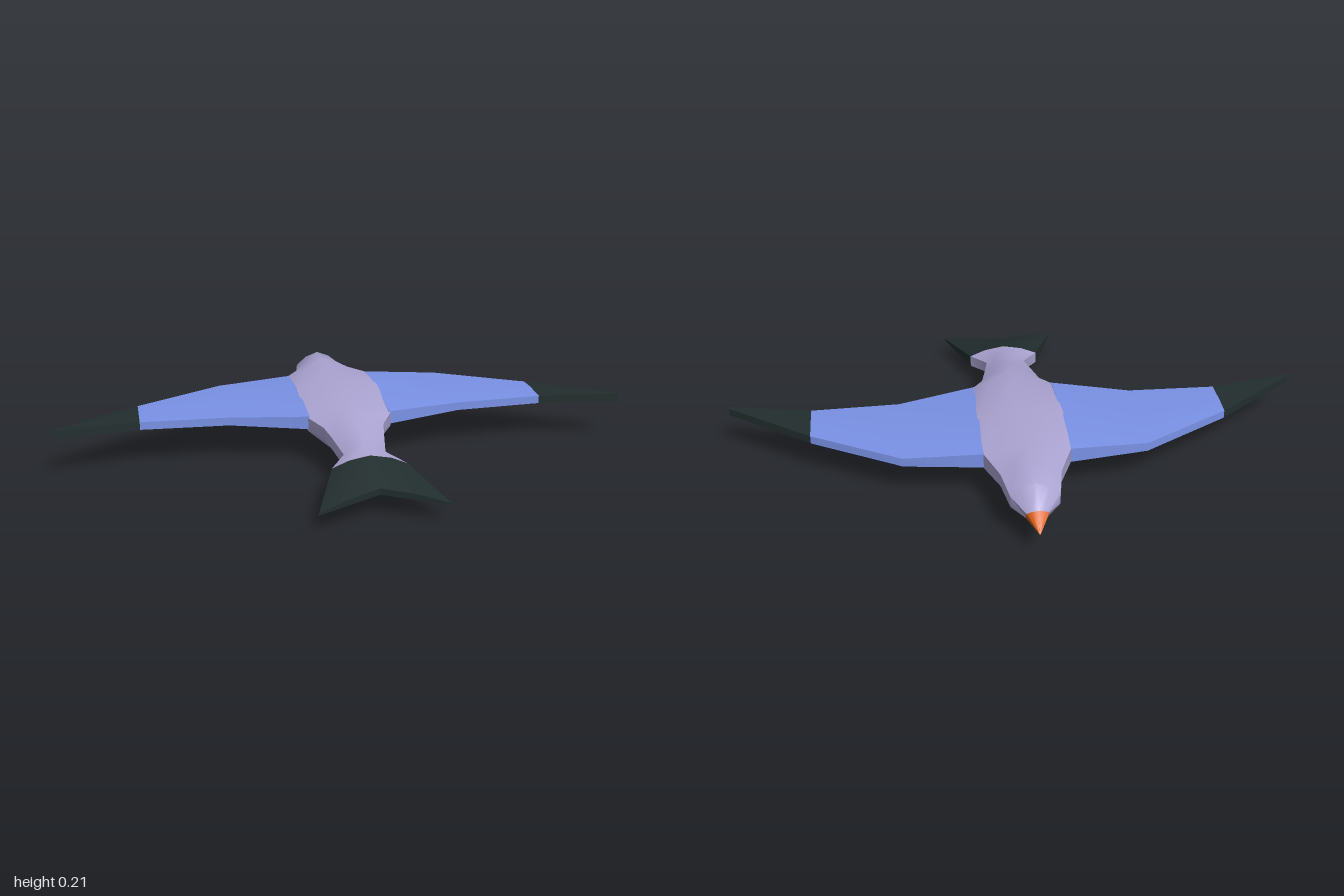
import * as THREE from 'three';
import { toCreasedNormals } from 'three/addons/utils/BufferGeometryUtils.js';

const colour = (name, hex) => {
  const m = new THREE.MeshStandardMaterial({ color: hex });
  m.name = name;
  return m;
};

// Skin a series of equal-length closed rings of [x, y, z] points, with end caps.
function skin(rings, crease) {
  const n = rings[0].length, index = [], last = (rings.length - 1) * n;
  for (let i = 0; i < rings.length - 1; i++) {
    for (let j = 0; j < n; j++) {
      const k = (j + 1) % n, a = i * n, b = a + n;
      index.push(a + j, a + k, b + k, a + j, b + k, b + j);
    }
  }
  for (let j = 1; j < n - 1; j++) {
    index.push(0, j + 1, j, last, last + j, last + j + 1);
  }
  const g = new THREE.BufferGeometry();
  g.setAttribute('position', new THREE.Float32BufferAttribute(rings.flat(2), 3));
  g.setIndex(index);
  return toCreasedNormals(g, crease);
}

// Body cross-section: arched back, short upright flank, V-shaped keel.
function section(z, hw, top, su, sl, bot, zAt = () => z) {
  const right = [
    [hw * 0.55, top - (top - su) * 0.35], [hw, su], [hw, sl],
    [hw * 0.5, bot + (sl - bot) * 0.45],
  ];
  const left = right.map(([x, y]) => [-x, y]);
  // counter-clockwise seen from +z
  const loop = [[0, bot], ...right.slice().reverse(), [0, top], ...left];
  return loop.map(([x, y]) => [x, y, zAt(x, y)]);
}

// Wing cross-section: thick blunt edges and a raised middle.
function wingRing(x, zFront, zBack, top, bottom, rise, sink) {
  const zm = zFront + (zBack - zFront) * 0.42;
  return [
    [x, top, zFront], [x, top + rise, zm], [x, top - rise * 0.4, zBack],
    [x, bottom, zBack], [x, bottom - sink, zm], [x, bottom, zFront],
  ];
}

export function createModel() {
  const group = new THREE.Group();
  const lavender = colour('lavender body', 0xaba4d2);
  const blue = colour('blue wing', 0x7a92e6);
  const dark = colour('dark feather', 0x222d2d);
  const orange = colour('orange beak', 0xd9600f);
  const add = (name, geometry, material) => {
    const mesh = new THREE.Mesh(geometry, material);
    mesh.name = name;
    group.add(mesh);
  };

  // Body: z, half width, top, upper flank, lower flank, keel
  const beakBase = section(0, 0.036, 0.145, 0.13, 0.1, 0.08,
    (x, y) => -0.62 + (0.145 - y) * 0.6);
  const tailBase = section(0.43, 0.125, 0.148, 0.112, 0.07, 0.062);
  const stations = [
    [-0.55, 0.08, 0.202, 0.155, 0.115, 0.066],
    [-0.44, 0.1, 0.21, 0.165, 0.12, 0.042],
    [-0.34, 0.145, 0.214, 0.18, 0.125, 0.026],
    [-0.14, 0.148, 0.217, 0.197, 0.105, 0.002],
    [0.1, 0.145, 0.208, 0.168, 0.12, 0.006],
    [0.17, 0.104, 0.198, 0.155, 0.115, 0.02],
    [0.24, 0.09, 0.187, 0.145, 0.105, 0.035],
    [0.35, 0.07, 0.157, 0.125, 0.085, 0.06],
  ];
  add('body', skin([beakBase, ...stations.map((s) => section(...s)), tailBase], 0.8), lavender);

  // Beak tapering to a point
  const beakTip = beakBase.map(([x, y]) => [x * 0.04, 0.09 + (y - 0.09) * 0.04, -0.67]);
  add('beak', skin([beakTip, beakBase], 0.8), orange);

  // Forked tail
  const tailEnd = section(0, 0.21, 0.096, 0.064, 0.058, 0.074,
    (x) => 0.58 + 0.085 * Math.abs(x) / 0.21);
  add('tail', skin([tailBase, tailEnd], 0.6), dark);

  // Wings: x, leading z, trailing z, top, bottom, rise, sink
  const wing = [
    [0.14, -0.34, 0.1, 0.18, 0.127, 0.017, 0.02],
    [0.41, -0.315, 0.03, 0.166, 0.135, 0.006, 0.004],
    [0.715, -0.145, 0.02, 0.166, 0.137, 0.003, 0.001],
    [1, 0.055, 0.068, 0.171, 0.144, 0, 0],
  ];
  for (const [side, s] of [['left', 1], ['right', -1]]) {
    const rings = wing.map(([x, ...rest]) => wingRing(s * x, ...rest));
    const ordered = (list) => (s > 0 ? list : list.slice().reverse());
    add(side + 'Wing', skin(ordered(rings.slice(0, 3)), 0.6), blue);
    add(side + 'WingTip', skin(ordered(rings.slice(2)), 0.6), dark);
  }
  return group;
}
